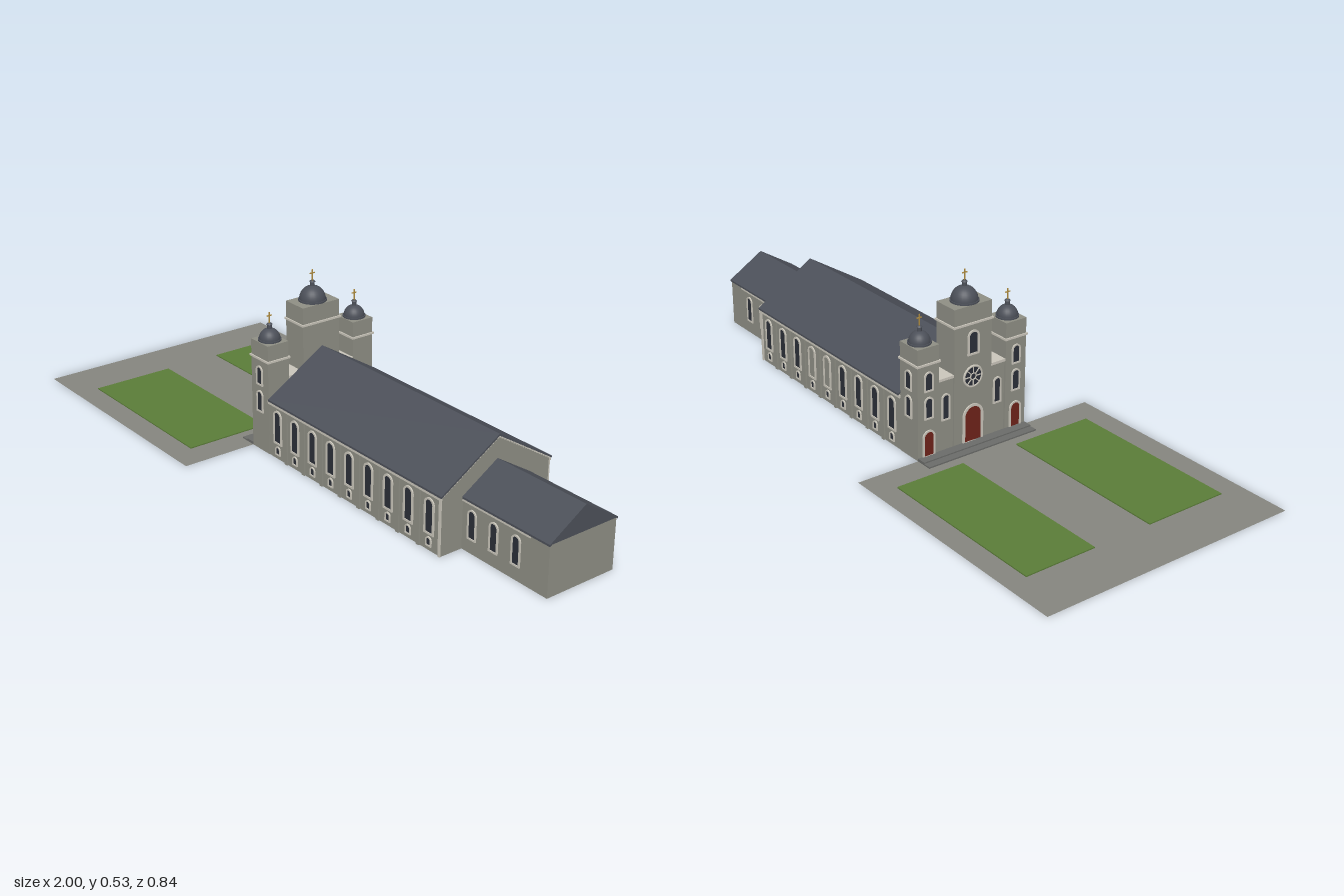
import * as THREE from 'three';

const mat = (name, color, double = false) => {
  const m = new THREE.MeshStandardMaterial({ color });
  m.name = name;
  if (double) m.side = THREE.DoubleSide;
  return m;
};

export function createModel() {
  const wall = mat('stone wall', 0x8e8e84, true);
  const trim = mat('pale trim', 0xc9c5ba);
  const roof = mat('slate roof', 0x4c5059, true);
  const paving = mat('paving', 0x85857e, true);
  const stepMat = mat('step stone', 0x6a6b69);
  const grass = mat('grass', 0x5a7c38);
  const glass = mat('dark glass', 0x2b2f38);
  const doorMat = mat('red door', 0x6e221a);
  const gold = mat('gold', 0xb08d40);

  const model = new THREE.Group();
  model.name = 'church';
  const CZ = -0.018; // church axis

  const add = (name, geo, material, parent = model) => {
    const m = new THREE.Mesh(geo, material);
    m.name = name;
    parent.add(m);
    return m;
  };
  // Box given by its limits
  const box = (name, x0, x1, y0, y1, z0, z1, material, parent) => {
    const g = new THREE.BoxGeometry(x1 - x0, y1 - y0, z1 - z0);
    g.translate((x0 + x1) / 2, (y0 + y1) / 2, (z0 + z1) / 2);
    return add(name, g, material, parent);
  };
  // Four thin walls, open above and below
  const hollow = (name, x0, x1, y0, y1, z0, z1, parent) => {
    const t = 0.004;
    const rect = (a, b, c, d) => [[a, c], [b, c], [b, d], [a, d]].map(p => new THREE.Vector2(...p));
    const s = new THREE.Shape(rect(x0, x1, -z1, -z0));
    s.holes.push(new THREE.Path(rect(x0 + t, x1 - t, -z1 + t, -z0 - t).reverse()));
    const g = new THREE.ExtrudeGeometry(s, { depth: y1 - y0, bevelEnabled: false });
    g.rotateX(-Math.PI / 2).translate(0, y0, 0);
    return add(name, g, wall, parent);
  };
  // Outline of [z, y] points extruded along x
  const alongX = (name, pts, x0, x1, material) => {
    const s = new THREE.Shape(pts.map(([z, y]) => new THREE.Vector2(-z, y)));
    const g = new THREE.ExtrudeGeometry(s, { depth: x1 - x0, bevelEnabled: false });
    g.rotateY(Math.PI / 2).translate(x0, 0, 0);
    return add(name, g, material);
  };
  const pitchedRoof = (name, half, eave, ridge, x0, x1, t = 0.006) => alongX(name, [
    [CZ - half, eave], [CZ, ridge], [CZ + half, eave],
    [CZ + half, eave - t], [CZ, ridge - t], [CZ - half, eave - t]], x0, x1, roof);

  // Round-headed opening with a raised frame, facing local +z
  const archPath = (C, w, y0, h) => {
    const p = new C();
    p.moveTo(-w / 2, y0);
    p.lineTo(w / 2, y0);
    p.lineTo(w / 2, h - w / 2);
    p.absarc(0, h - w / 2, w / 2, 0, Math.PI, false);
    p.lineTo(-w / 2, y0);
    return p;
  };
  const opening = (name, w, h, x, y, z, turn, fill = glass, f = 0.006) => {
    const g = new THREE.Group();
    g.name = name;
    const frame = archPath(THREE.Shape, w + 2 * f, -f, h + f);
    frame.holes.push(archPath(THREE.Path, w, 0, h));
    add('frame', new THREE.ExtrudeGeometry(frame, { depth: 0.004, bevelEnabled: false, curveSegments: 8 }), trim, g);
    const pane = add('pane', new THREE.ShapeGeometry(archPath(THREE.Shape, w, 0, h), 8), fill, g);
    pane.position.z = 0.0015;
    g.position.set(x, y, z);
    g.rotation.y = turn;
    model.add(g);
  };
  const WEST = -Math.PI / 2;

  // Forecourt with two lawns and entrance steps
  const court = add('forecourt', new THREE.PlaneGeometry(0.815, 0.84).rotateX(-Math.PI / 2), paving);
  court.position.set(-0.5925, 0.0003, 0);
  box('northLawn', -0.835, -0.275, 0.0005, 0.004, -0.35, -0.12, grass);
  box('southLawn', -0.835, -0.275, 0.0005, 0.004, 0.075, 0.345, grass);
  box('lowerStep', -0.24, -0.185, 0.0005, 0.005, -0.214, 0.178, stepMat);
  box('upperStep', -0.215, -0.185, 0.005, 0.009, -0.214, 0.178, stepMat);

  // Nave
  const NH = 0.194;
  hollow('naveWalls', -0.1, 0.675, 0, 0.18, CZ - NH, CZ + NH);
  for (const x of [-0.1, 0.671])
    alongX('naveGable', [[CZ - NH, 0.18], [CZ + NH, 0.18], [CZ, 0.3]], x, x + 0.004, wall);
  pitchedRoof('naveRoof', 0.2, 0.182, 0.306, -0.096, 0.68);
  for (const s of [-1, 1]) {
    const face = CZ + s * NH, turn = s > 0 ? 0 : Math.PI;
    const strip = (name, x0, x1, y0, y1, d, m) =>
      box(name, x0, x1, y0, y1, Math.min(face, face + s * d), Math.max(face, face + s * d), m);
    strip('naveCornice', -0.1, 0.678, 0.168, 0.177, 0.005, trim);
    strip('cornerStrip', 0.668, 0.676, 0, 0.17, 0.004, trim);
    for (let i = 0; i < 9; i++) {
      const x = -0.056 + 0.0856 * i;
      const blind = s < 0 && (i === 4 || i === 5);
      opening('naveWindow', 0.028, 0.097, x, 0.055, face, turn, blind ? wall : glass);
      opening('cellarWindow', 0.015, 0.021, x, 0.017, face, turn, glass, 0.004);
      if (i < 8) strip('pilaster', x + 0.037, x + 0.049, 0, 0.168, 0.005, wall);
    }
    // Small blocks under the gable slope
    for (let i = 0; i < 22; i++) {
      const t = (i + 0.5) / 22;
      const z = CZ + s * NH * (1 - t), y = 0.178 + 0.12 * t;
      box('gableBlock', 0.675, 0.679, y - 0.002, y + 0.002, z - 0.0022, z + 0.0022, trim);
    }
  }

  // Chancel
  const CH = 0.119;
  hollow('chancelWalls', 0.675, 0.997, 0, 0.158, CZ - CH, CZ + CH);
  pitchedRoof('chancelRoof', 0.122, 0.157, 0.233, 0.675, 1);
  alongX('chancelGable', [[CZ - CH, 0.155], [CZ + CH, 0.155], [CZ, 0.229]], 0.994, 0.999, roof);
  for (const s of [-1, 1]) {
    const face = CZ + s * CH;
    box('chancelCornice', 0.675, 0.93, 0.145, 0.151, face - 0.003, face + 0.003, trim);
    for (const x of [0.714, 0.797, 0.88])
      opening('chancelWindow', 0.024, 0.08, x, 0.047, face, s > 0 ? 0 : Math.PI, glass, 0.005);
  }

  // Domed towers: shaft, cornice, belfry, dome, lantern and cross
  const TX = -0.1425, X0 = -0.185, X1 = -0.1;
  const tower = (name, z, half, corniceY, topY, r, domeH) => {
    const g = new THREE.Group();
    g.name = name;
    model.add(g);
    hollow('shaft', X0, X1, 0, topY, z - half, z + half, g);
    box('cap', X0 + 0.001, X1 - 0.001, topY - 0.004, topY, z - half + 0.001, z + half - 0.001, wall, g);
    box('cornice', X0 - 0.004, X1 + 0.004, corniceY - 0.006, corniceY, z - half - 0.004, z + half + 0.004, trim, g);
    const put = (n, geo, y, m) => add(n, geo, m, g).position.set(TX, y, z);
    put('domeBase', new THREE.CylinderGeometry(r + 0.003, r + 0.003, 0.005, 24), topY + 0.0025, roof);
    const dome = new THREE.SphereGeometry(r, 24, 10, 0, Math.PI * 2, 0, Math.PI / 2);
    dome.scale(1, (domeH - 0.004) / r, 1);
    put('dome', dome, topY + 0.004, roof);
    const ly = topY + domeH;
    put('lantern', new THREE.CylinderGeometry(0.007, 0.007, 0.016, 12), ly + 0.006, roof);
    put('lanternCap', new THREE.CylinderGeometry(0.006, 0.0095, 0.004, 12), ly + 0.014, roof);
    put('crossPost', new THREE.BoxGeometry(0.003, 0.034, 0.003), ly + 0.033, gold);
    put('crossArm', new THREE.BoxGeometry(0.003, 0.003, 0.017), ly + 0.039, gold);
  };
  const sideZ = 0.158;
  tower('centralTower', CZ, 0.067, 0.385, 0.437, 0.04, 0.046);
  for (const s of [-1, 1]) {
    const z = CZ + s * sideZ, face = z + s * 0.0375, turn = s > 0 ? 0 : Math.PI;
    tower(s > 0 ? 'southTower' : 'northTower', z, 0.0375, 0.3, 0.348, 0.032, 0.037);
    opening('towerUpperWindow', 0.022, 0.052, TX, 0.217, face, turn, glass, 0.005);
    opening('towerLowerWindow', 0.022, 0.06, TX, 0.13, face, turn, glass, 0.005);
    // West side of the tower
    opening('sideDoor', 0.032, 0.075, X0, 0.009, z, WEST, doorMat);
    opening('westLowerWindow', 0.022, 0.06, X0, 0.13, z, WEST, glass, 0.005);
    opening('westUpperWindow', 0.022, 0.052, X0, 0.217, z, WEST, glass, 0.005);
    // Bay linking the towers
    const a = CZ + s * 0.067, b = CZ + s * 0.1205;
    const z0 = Math.min(a, b), z1 = Math.max(a, b);
    hollow('linkBay', X0 + 0.006, X1, 0, 0.228, z0, z1);
    box('linkBayCap', X0 + 0.001, X1, 0.228, 0.236, z0, z1, trim);
    opening('linkBayWindow', 0.02, 0.075, X0 + 0.006, 0.105, (z0 + z1) / 2, WEST, glass, 0.005);
  }

  // Main portal, rose window and the window above it
  opening('mainDoor', 0.058, 0.11, X0, 0.009, CZ, WEST, doorMat, 0.008);
  opening('highWindow', 0.03, 0.065, X0, 0.29, CZ, WEST);
  const rose = new THREE.Group();
  rose.name = 'roseWindow';
  rose.position.set(X0, 0.215, CZ);
  rose.rotation.y = WEST;
  model.add(rose);
  add('roseGlass', new THREE.CircleGeometry(0.032, 24), glass, rose).position.z = 0.0015;
  add('roseFrame', new THREE.TorusGeometry(0.032, 0.004, 6, 24), trim, rose);
  add('roseHub', new THREE.TorusGeometry(0.01, 0.002, 6, 16), trim, rose).position.z = 0.002;
  for (let i = 0; i < 8; i++) {
    const spoke = new THREE.BoxGeometry(0.022, 0.003, 0.003).translate(0.021, 0, 0.002);
    add('roseSpoke', spoke.rotateZ(i * Math.PI / 4), trim, rose);
  }
  return model;
}
